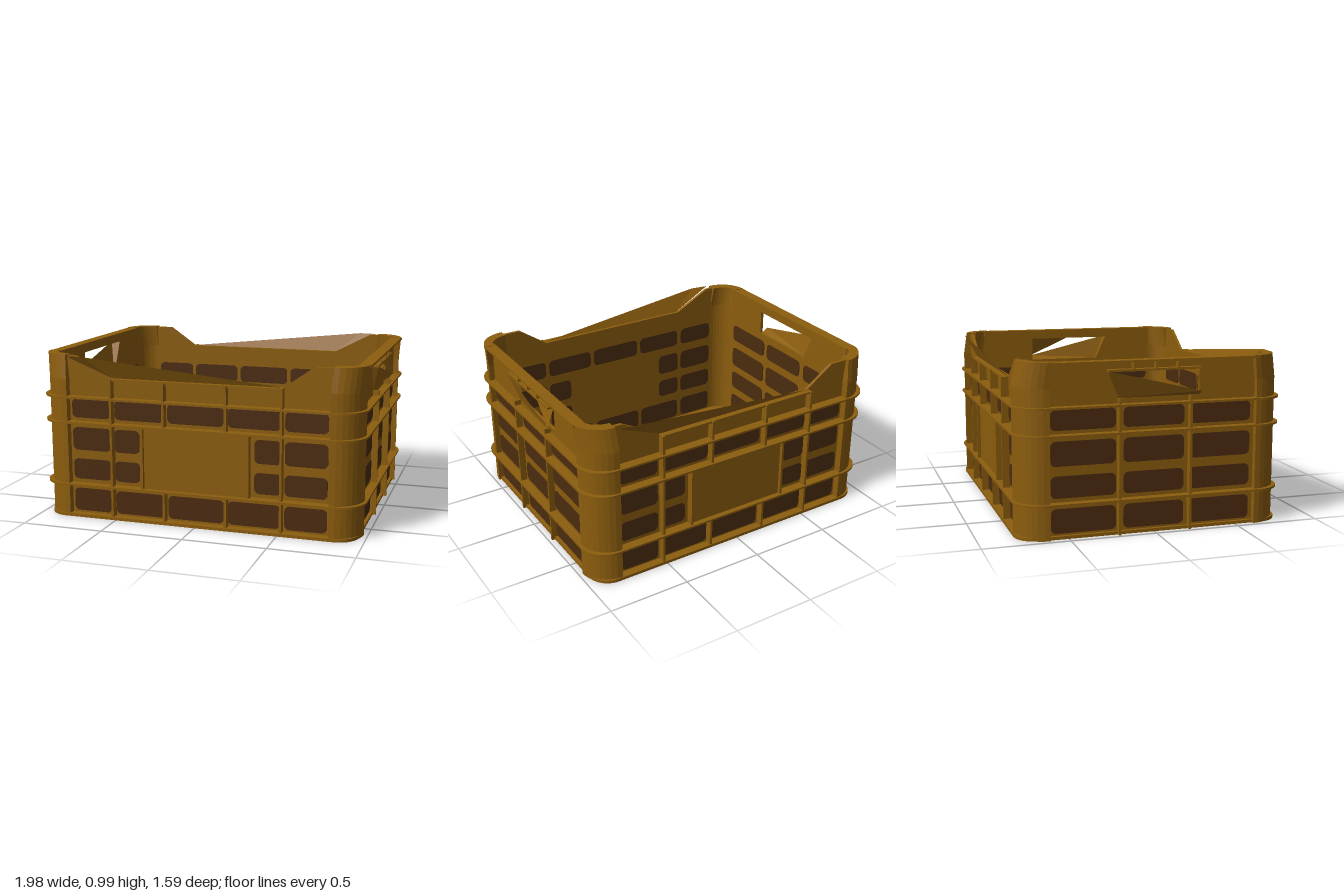
import * as THREE from 'three';

const crateMat = new THREE.MeshStandardMaterial({ color: 0x8c5d0e, side: THREE.DoubleSide });
crateMat.name = 'ochre plastic';
const darkMat = new THREE.MeshStandardMaterial({ color: 0x4c2c10 });
darkMat.name = 'dark brown vent';

const WALL = 0.02; // wall thickness

function add(parent, name, geo, mat = crateMat) {
  const mesh = new THREE.Mesh(geo, mat);
  mesh.name = name;
  parent.add(mesh);
  return mesh;
}

function box(parent, name, x0, x1, y0, y1, z0, z1) {
  const mesh = add(parent, name, new THREE.BoxGeometry(x1 - x0, y1 - y0, z1 - z0));
  mesh.position.set((x0 + x1) / 2, (y0 + y1) / 2, (z0 + z1) / 2);
}

function polygon(points) {
  return new THREE.Shape(points.map(([x, y]) => new THREE.Vector2(x, y)));
}

function roundedRect(x0, x1, y0, y1, r) {
  const s = new THREE.Shape();
  s.absarc(x1 - r, y1 - r, r, 0, Math.PI / 2);
  s.absarc(x0 + r, y1 - r, r, Math.PI / 2, Math.PI);
  s.absarc(x0 + r, y0 + r, r, Math.PI, Math.PI * 1.5);
  s.absarc(x1 - r, y0 + r, r, Math.PI * 1.5, Math.PI * 2);
  s.closePath();
  return s;
}

function extrude(shape, depth, steps = 1) {
  return new THREE.ExtrudeGeometry(shape, { depth, steps, bevelEnabled: false, curveSegments: 6 });
}

// Thin faceted surface fanned out from its first corner
function sheet(corners) {
  const pos = [];
  for (let i = 1; i < corners.length - 1; i++) pos.push(...corners[0], ...corners[i], ...corners[i + 1]);
  const geo = new THREE.BufferGeometry();
  geo.setAttribute('position', new THREE.Float32BufferAttribute(pos, 3));
  geo.computeVertexNormals();
  return geo;
}

// Dark vent drawn on both faces of a wall whose outer face is at z
function vent(parent, x0, x1, y0, y1, z) {
  const geo = extrude(roundedRect(x0, x1, y0, y1, 0.03), 0.005);
  add(parent, 'ventOutside', geo, darkMat).position.z = z;
  add(parent, 'ventInside', geo, darkMat).position.z = z - WALL - 0.005;
}

const ROWS = [[0.03, 0.17], [0.23, 0.355], [0.41, 0.55], [0.61, 0.725]];

// Long wall, facing +z, with its dipped lip
function longWall() {
  const g = new THREE.Group();
  const z = 0.74, out = 0.785;
  const outline = [[-0.81, 0], [0.81, 0], [0.81, 0.985], [0.7, 0.985], [0.52, 0.86], [-0.52, 0.86], [-0.76, 0.985], [-0.81, 0.985]];
  add(g, 'longPanel', extrude(polygon(outline), WALL)).position.z = z - WALL;
  // overhanging lip, sloping across the opening
  add(g, 'slopedLip', sheet([[-0.52, 0.86, z], [0.52, 0.86, z], [-0.68, 0.985, 0.795], [-0.8, 0.985, 0.78]]));
  box(g, 'lipLedge', -0.52, 0.52, 0.848, 0.86, z, 0.775);

  const columns = [[-0.785, -0.54], [-0.51, -0.2], [-0.175, 0.17], [0.195, 0.51], [0.535, 0.785]];
  for (const row of [ROWS[0], ROWS[3]])
    for (const [a, b] of columns) vent(g, a, b, ...row, z);
  for (const row of [ROWS[1], ROWS[2]])
    for (const [a, b] of [[-0.785, -0.54], [-0.515, -0.355], [0.355, 0.515], [0.535, 0.785]]) vent(g, a, b, ...row, z);

  // upright ribs and the frame of the blank panel
  for (const s of [-1, 1]) {
    const rib = (x, y0, y1) => box(g, 'uprightRib', s * x - 0.007, s * x + 0.007, y0, y1, z, out);
    rib(0.52, 0, 0.86);
    rib(0.19, 0, 0.2);
    rib(0.19, 0.58, 0.86);
    rib(0.325, 0.2, 0.58);
  }
  box(g, 'blankPanel', -0.32, 0.32, 0.205, 0.58, z, 0.765);
  return g;
}

// Short wall, facing its own +z, with a hand hole
function shortWall(withFold) {
  const g = new THREE.Group();
  const z = 0.94, out = 0.98;
  const shape = polygon([[-0.62, 0], [0.62, 0], [0.62, 0.985], [-0.62, 0.985]]);
  shape.holes.push(polygon([[-0.28, 0.93], [-0.21, 0.775], [0.27, 0.775], [0.27, 0.93]]));
  add(g, 'shortPanel', extrude(shape, WALL)).position.z = z - WALL;
  // slanted grip pocket
  add(g, 'gripPocket', sheet([[-0.21, 0.775, z], [0.27, 0.775, z], [0.27, 0.8, 0.98], [-0.28, 0.93, 0.98]]));
  add(g, 'gripEnd', sheet([[-0.28, 0.93, z], [-0.21, 0.775, z], [-0.28, 0.93, 0.98]]));
  if (withFold) add(g, 'gripFold', sheet([[0, 0.93, z], [0.27, 0.8, 0.985], [0.27, 0.93, z]]));

  for (const row of ROWS)
    for (const [a, b] of [[-0.6, -0.225], [-0.18, 0.18], [0.215, 0.585]]) vent(g, a, b, ...row, z);
  for (const x of [-0.21, 0.21]) box(g, 'uprightRib', x - 0.007, x + 0.007, 0, 0.775, z, out);
  for (const x of [-0.13, 0, 0.13]) box(g, 'gripRib', x - 0.005, x + 0.005, 0.93, 0.985, z, out);
  box(g, 'gripLedge', -0.28, 0.27, 0.925, 0.937, z, out);
  box(g, 'topRim', -0.62, 0.62, 0.975, 0.987, z - WALL, 0.99);
  return g;
}

// Rounded corner post, drawn in plan and narrowed slightly in z at the top
function cornerPost(sx, sz) {
  const pts = [];
  const n = 8;
  for (let i = 0; i <= n; i++) {
    const a = (i / n) * Math.PI / 2;
    pts.push([sx * (0.8 + 0.175 * Math.cos(a)), -sz * (0.61 + 0.175 * Math.sin(a))]);
  }
  for (let i = n; i >= 0; i--) {
    const a = (i / n) * Math.PI / 2;
    pts.push([sx * (0.8 + 0.12 * Math.cos(a)), -sz * (0.61 + 0.11 * Math.sin(a))]);
  }
  const geo = extrude(polygon(pts), 0.99, 7).rotateX(-Math.PI / 2);
  const p = geo.attributes.position;
  for (let i = 0; i < p.count; i++) {
    const t = Math.max(0, (p.getY(i) - 0.85) / 0.14);
    p.setX(i, p.getX(i) * (1 + 0.014 * t));
    p.setZ(i, p.getZ(i) * (1 - 0.03 * t));
  }
  geo.computeVertexNormals();
  return geo;
}

export function createModel() {
  const crate = new THREE.Group();
  crate.name = 'crate';

  // floor
  const floor = add(crate, 'floor', extrude(roundedRect(-0.96, 0.96, -0.79, 0.79, 0.13), 0.018));
  floor.rotation.x = -Math.PI / 2;

  // four walls
  const walls = [
    ['frontWall', longWall(), 0], ['backWall', longWall(), Math.PI],
    ['leftWall', shortWall(true), Math.PI / 2], ['rightWall', shortWall(false), -Math.PI / 2],
  ];
  for (const [name, wall, turn] of walls) {
    wall.name = name;
    wall.rotation.y = turn;
    crate.add(wall);
  }

  // corner posts
  for (const sx of [-1, 1])
    for (const sz of [-1, 1]) add(crate, 'cornerPost', cornerPost(sx, sz));

  // horizontal ribs running all the way round
  for (const y of [0.195, 0.578, 0.732]) {
    const ring = roundedRect(-0.992, 0.992, -0.797, 0.797, 0.16);
    ring.holes.push(roundedRect(-0.93, 0.93, -0.73, 0.73, 0.12));
    const rib = add(crate, 'ringRib', extrude(ring, 0.012));
    rib.rotation.x = -Math.PI / 2;
    rib.position.y = y;
  }
  return crate;
}
